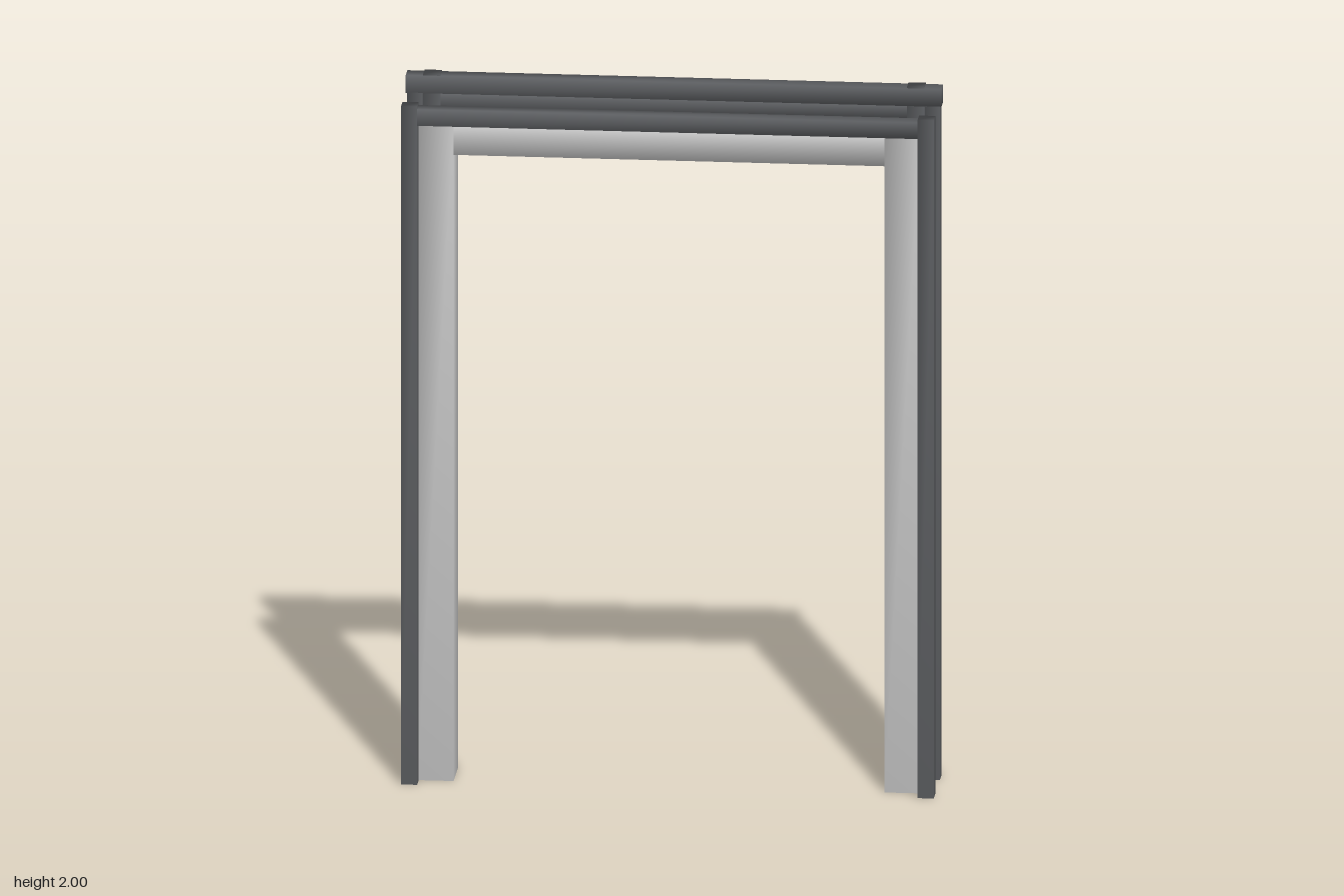
import * as THREE from 'three';
import { mergeVertices } from 'three/addons/utils/BufferGeometryUtils.js';

const lining = new THREE.MeshStandardMaterial({ color: 0xcccccc });
const trim = new THREE.MeshStandardMaterial({ color: 0x5c5e61 });

// Box between two corners, with shared corners so the shading runs softly over its edges
function bar(name, material, [x0, x1], [y0, y1], [z0, z1]) {
  let geometry = new THREE.BoxGeometry(x1 - x0, y1 - y0, z1 - z0);
  geometry.deleteAttribute('normal');
  geometry.deleteAttribute('uv');
  geometry = mergeVertices(geometry);
  geometry.computeVertexNormals();
  const mesh = new THREE.Mesh(geometry, material);
  mesh.name = name;
  mesh.position.set((x0 + x1) / 2, (y0 + y1) / 2, (z0 + z1) / 2);
  return mesh;
}

export function createModel() {
  const group = new THREE.Group();
  group.name = 'doorFrame';

  const middle = [-0.07, 0.07];
  const front = [0.072, 0.117];
  const back = [-0.117, -0.068];

  // Uprights, mirrored left and right
  for (const [side, s] of [['left', 1], ['right', -1]]) {
    const span = (a, b) => (s > 0 ? [a, b] : [-b, -a]);
    group.add(
      bar(side + 'Jamb', lining, span(0.6, 0.7), [0, 1.905], middle),
      bar(side + 'FrontTrim', trim, span(0.697, 0.742), [0, 1.96], front),
      bar(side + 'BackOuterTrim', trim, span(0.7, 0.742), [0, 1.946], [-0.112, -0.066]),
      bar(side + 'BackInnerTrim', trim, span(0.65, 0.698), [0, 2], [-0.115, -0.07])
    );
  }

  // Head of the frame and its horizontal trims
  group.add(
    bar('head', lining, [-0.6, 0.6], [1.81, 1.905], middle),
    bar('frontHeadTrim', trim, [-0.697, 0.697], [1.905, 1.952], front),
    bar('backHeadTrim', trim, [-0.65, 0.65], [1.903, 1.946], [-0.115, -0.07]),
    bar('backTopRail', trim, [-0.746, 0.746], [1.945, 1.996], back)
  );
  return group;
}
